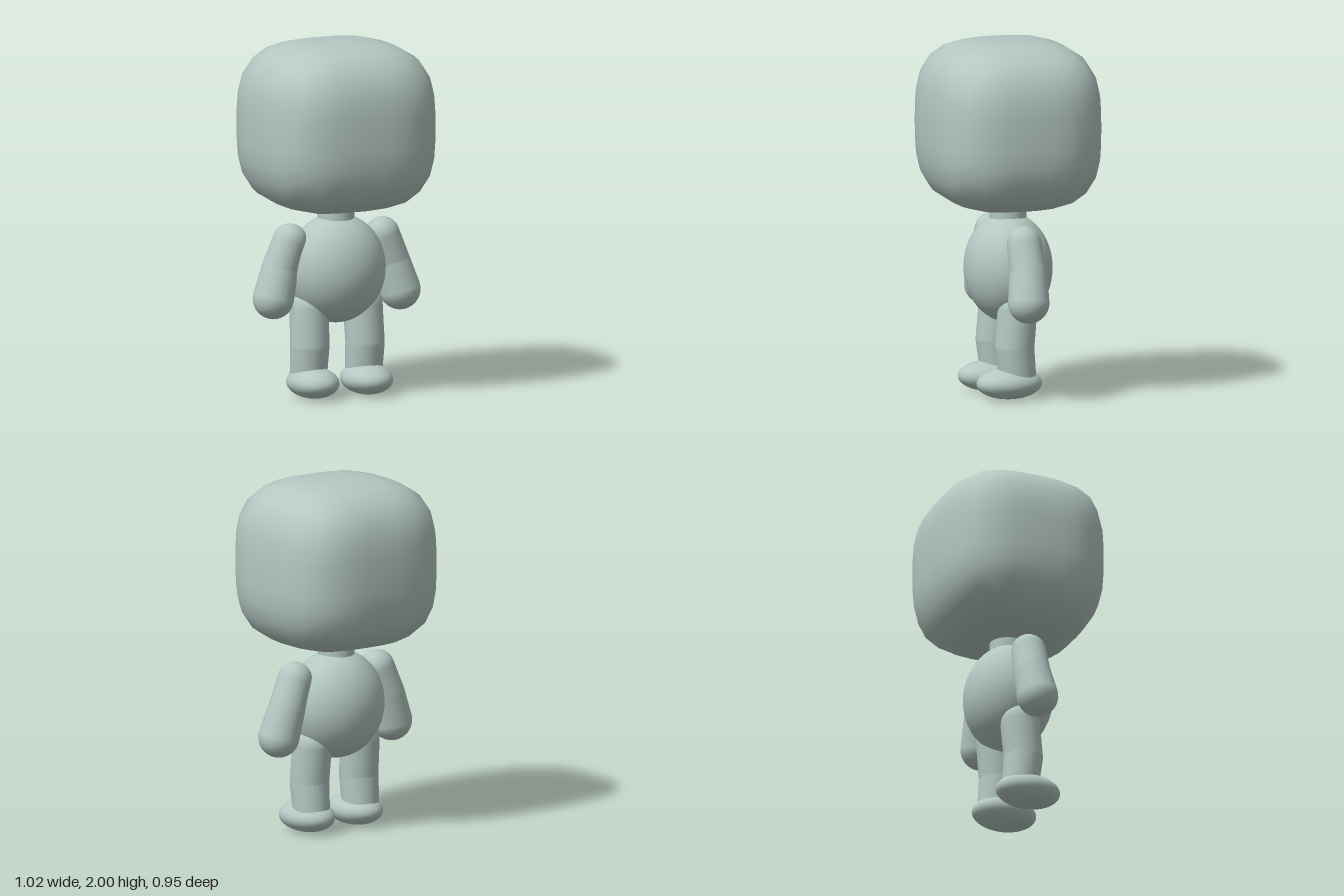
import * as THREE from 'three';
import { mergeVertices } from 'three/addons/utils/BufferGeometryUtils.js';

const skin = new THREE.MeshStandardMaterial({ color: 0xb4c7c2 });
skin.name = 'pale grey green';

function part(name, geometry, parent) {
  const mesh = new THREE.Mesh(geometry, skin);
  mesh.name = name;
  parent.add(mesh);
  return mesh;
}

// Rounded block: a gridded cube pulled onto a superellipsoid
function softBlock(rx, ry, rz, power) {
  let geo = new THREE.BoxGeometry(2, 2, 2, 8, 8, 8);
  geo.deleteAttribute('uv');
  geo.deleteAttribute('normal');
  geo = mergeVertices(geo);
  const pos = geo.attributes.position;
  for (let i = 0; i < pos.count; i++) {
    const p = [pos.getX(i), pos.getY(i), pos.getZ(i)].map(v => Math.tan(v * Math.PI / 4));
    const len = Math.pow(p.reduce((s, v) => s + Math.pow(Math.abs(v), power), 0), 1 / power);
    pos.setXYZ(i, p[0] / len * rx, p[1] / len * ry, p[2] / len * rz);
  }
  geo.computeVertexNormals();
  return geo;
}

function ellipsoid(rx, ry, rz) {
  return new THREE.SphereGeometry(1, 40, 28).scale(rx, ry, rz);
}

// Tapered capsule running from a (radius ra) to b (radius rb)
function capsule(name, a, ra, b, rb, parent) {
  const from = new THREE.Vector3(...a), to = new THREE.Vector3(...b);
  const axis = to.clone().sub(from), length = axis.length();
  const profile = [], n = 8;
  for (let i = 0; i <= n; i++) {
    const t = (i / n) * Math.PI / 2;
    profile.push(new THREE.Vector2(ra * Math.sin(t), -ra * Math.cos(t)));
  }
  for (let i = 0; i <= n; i++) {
    const t = (i / n) * Math.PI / 2;
    profile.push(new THREE.Vector2(i === n ? 0 : rb * Math.cos(t), length + rb * Math.sin(t)));
  }
  const mesh = part(name, new THREE.LatheGeometry(profile, 28), parent);
  mesh.position.copy(from);
  mesh.quaternion.setFromUnitVectors(new THREE.Vector3(0, 1, 0), axis.normalize());
}

export function createModel() {
  const model = new THREE.Group();
  model.name = 'figure';

  // Head, neck and torso
  part('head', softBlock(0.508, 0.475, 0.475, 3.3), model).position.y = 1.525;
  part('neck', new THREE.CylinderGeometry(0.103, 0.103, 0.25, 32), model).position.y = 1.0;
  part('torso', ellipsoid(0.285, 0.307, 0.245), model).position.y = 0.718;

  // Limbs, mirrored left and right
  for (const [side, s] of [['left', 1], ['right', -1]]) {
    const arm = new THREE.Group();
    arm.name = side + 'Arm';
    capsule('upperArm', [0.285 * s, 0.89, 0], 0.097, [0.342 * s, 0.735, -0.005], 0.104, arm);
    capsule('forearm', [0.342 * s, 0.735, -0.005], 0.104, [0.389 * s, 0.572, 0.008], 0.116, arm);

    const leg = new THREE.Group();
    leg.name = side + 'Leg';
    capsule('thigh', [0.165 * s, 0.5, 0], 0.111, [0.17 * s, 0.29, 0.018], 0.11, leg);
    capsule('shin', [0.17 * s, 0.29, 0.018], 0.11, [0.17 * s, 0.12, 0], 0.104, leg);
    part('foot', ellipsoid(0.139, 0.087, 0.187), leg).position.set(0.165 * s, 0.088, 0.048);

    model.add(arm, leg);
  }
  return model;
}
